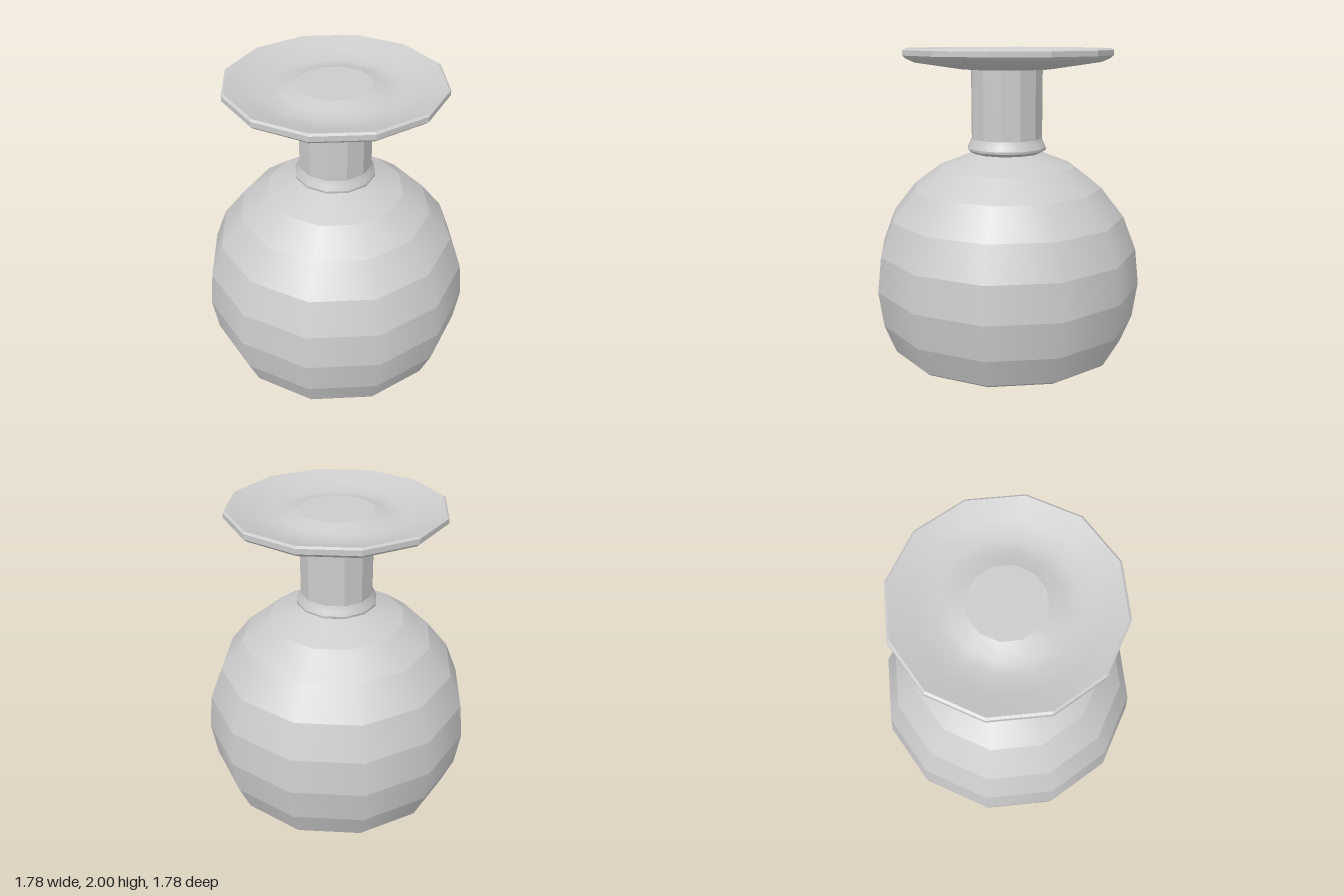
import * as THREE from 'three';
import { mergeGeometries } from 'three/addons/utils/BufferGeometryUtils.js';

const SIDES = 12;
const smoothGrey = new THREE.MeshStandardMaterial({ color: 0xcccccc });
const flatGrey = new THREE.MeshStandardMaterial({ color: 0xcccccc, flatShading: true });

const lathe = (points) =>
  new THREE.LatheGeometry(points.map(([r, y]) => new THREE.Vector2(r, y)), SIDES);

// Each profile step becomes its own band: smooth around, creased between bands
const banded = (points) =>
  mergeGeometries(points.slice(1).map((p, i) => lathe([points[i], p])));

export function createModel() {
  const group = new THREE.Group();
  const add = (name, geometry, material) => {
    const mesh = new THREE.Mesh(geometry, material);
    mesh.name = name;
    group.add(mesh);
  };

  // Underside with a barely raised centre
  add('base', lathe([[0, 0], [0.3, 0.002], [0.45, 0.012], [0.765, 0.013]]), smoothGrey);

  // Rounded bowl, closing in at the shoulder
  add('body', banded([
    [0.765, 0.013], [0.785, 0.03], [0.86, 0.22], [0.892, 0.455], [0.866, 0.69],
    [0.78, 0.91], [0.63, 1.1], [0.45, 1.235], [0.22, 1.325],
  ]), smoothGrey);

  // Flared ring where the neck meets the shoulder
  add('collar', banded([
    [0.22, 1.322], [0.26, 1.345], [0.262, 1.36], [0.243, 1.4], [0.235, 1.42],
  ]), smoothGrey);

  add('neck', lathe([[0.235, 1.415], [0.235, 1.87]]), flatGrey);

  // Wide dish: underside, rim edge and hollow top with a raised centre disc
  add('dishUnderside', banded([[0.22, 1.87], [0.31, 1.87], [0.61, 1.915], [0.665, 1.94]]), smoothGrey);
  add('dishRim', lathe([[0.665, 1.94], [0.685, 1.958], [0.685, 1.99], [0.67, 2]]), flatGrey);
  add('dishTop', lathe([[0.67, 2], [0.54, 1.957], [0.42, 1.925], [0.33, 1.935], [0.235, 1.968]]), smoothGrey);
  add('dishCentre', lathe([[0.235, 1.968], [0, 1.968]]), smoothGrey);

  return group;
}
